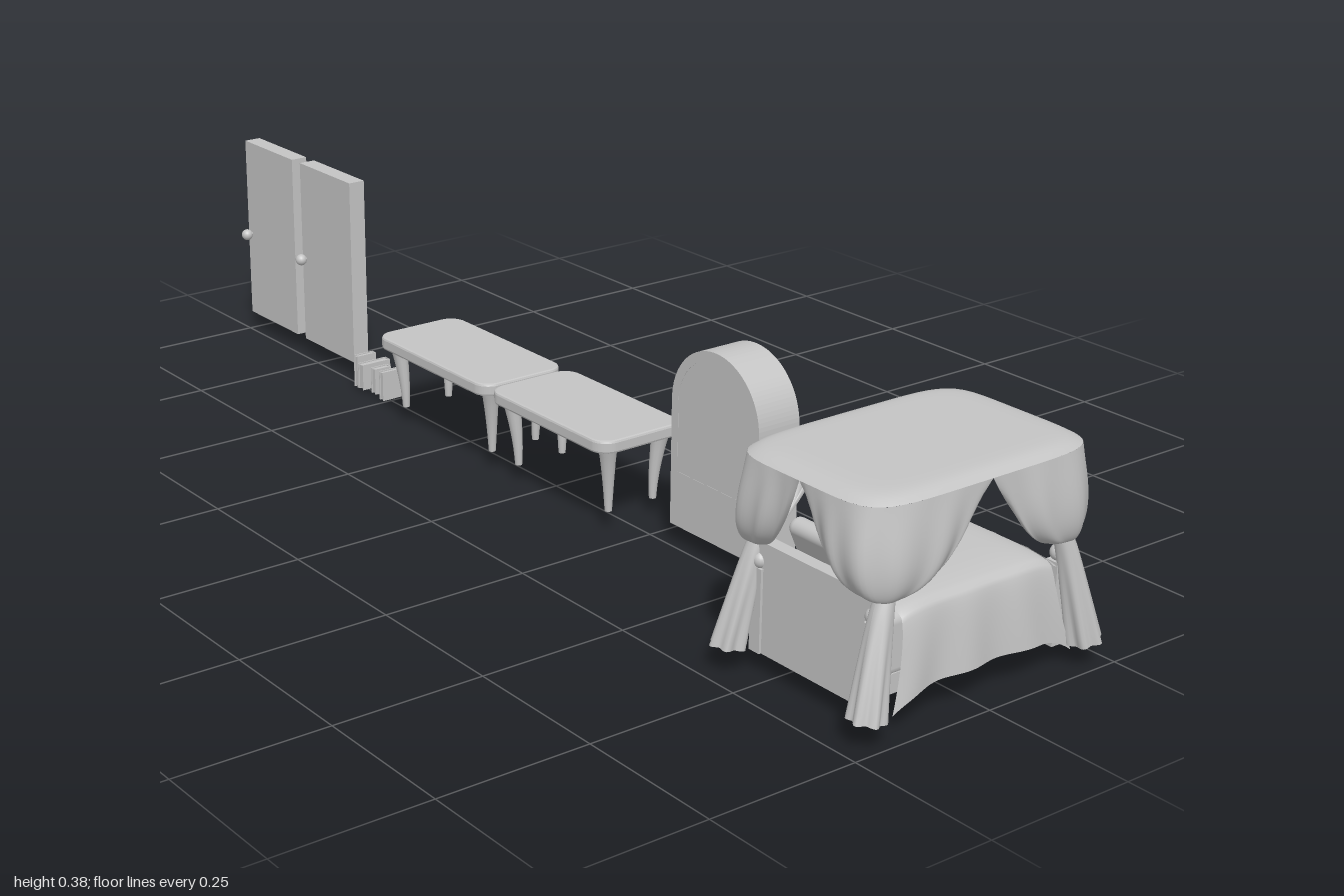
import * as THREE from 'three';
import { RoundedBoxGeometry } from 'three/addons/geometries/RoundedBoxGeometry.js';

const { sin, cos, abs, pow, PI } = Math;
const lerp = THREE.MathUtils.lerp;

// Grid surface from a rule f(u, v) -> [x, y, z]
function surface(f, nu, nv) {
  const pos = [], idx = [];
  for (let j = 0; j <= nv; j++) for (let i = 0; i <= nu; i++) pos.push(...f(i / nu, j / nv));
  for (let j = 0; j < nv; j++) for (let i = 0; i < nu; i++) {
    const a = j * (nu + 1) + i, b = a + nu + 1;
    idx.push(a, b, a + 1, a + 1, b, b + 1);
  }
  const g = new THREE.BufferGeometry();
  g.setAttribute('position', new THREE.Float32BufferAttribute(pos, 3));
  g.setIndex(idx);
  g.computeVertexNormals();
  return g;
}

// Outline with straight sides and a round top
function arch(Type, half, bottom, spring) {
  const s = new Type();
  s.moveTo(-half, bottom);
  s.lineTo(half, bottom);
  s.lineTo(half, spring);
  s.absarc(0, spring, half, 0, PI, false);
  s.closePath();
  return s;
}

// Extrude an outline along +x
const slab = (shape, depth) =>
  new THREE.ExtrudeGeometry(shape, { depth, bevelEnabled: false, curveSegments: 24 }).rotateY(PI / 2);

const box = (w, h, d) => new THREE.BoxGeometry(w, h, d);

export function createModel() {
  const grey = new THREE.MeshStandardMaterial({ color: 0xc4c4c4, side: THREE.DoubleSide });
  grey.name = 'plain grey';
  const root = new THREE.Group();
  root.name = 'furnitureSet';
  const group = (name, z) => {
    const g = new THREE.Group();
    g.name = name;
    g.position.z = z;
    root.add(g);
    return g;
  };
  const add = (parent, name, geo, x = 0, y = 0, z = 0) => {
    const m = new THREE.Mesh(geo, grey);
    m.name = name;
    m.position.set(x, y, z);
    parent.add(m);
    return m;
  };

  // ---- Canopy bed ----
  const bed = group('canopyBed', 0.832);
  const A = 0.214, B = 0.148;
  const rim = (a) => {
    const r = pow(pow(abs(cos(a)), 6) + pow(abs(sin(a)), 6), -1 / 6);
    return [A * r * cos(a), B * r * sin(a)];
  };
  add(bed, 'canopyTop', surface((u, v) => {
    const [x, z] = rim(u * 2 * PI);
    return [x * v, 0.35 - 0.012 * pow(v, 14), z * v];
  }, 96, 20));

  for (const sx of [-1, 1]) for (const sz of [-1, 1]) {
    // Upper curtain sweeps from the canopy rim to the corner tie
    add(bed, 'upperCurtain', surface((u, v) => {
      const a = u * PI / 2, [px, pz] = rim(a);
      const corner = pow(abs(sin(2 * a)), 0.6);
      const w = lerp(v, pow(v, 3), corner);
      const phi = lerp(-0.6 * PI, 1.1 * PI, u);
      const swell = sin(PI * v) * (0.014 * corner + 0.003 * sin(a * 22));
      const x = lerp(px, 0.171 + 0.016 * cos(phi), w) + swell * cos(a);
      const z = lerp(pz, 0.127 + 0.014 * sin(phi), w) + swell * sin(a);
      return [sx * x, 0.338 - 0.138 * (1 - pow(1 - v, 1.6)), sz * z];
    }, 40, 20));
    // Lower curtain flares out with folds
    add(bed, 'lowerCurtain', surface((u, v) => {
      const a = u * 2 * PI;
      const r = lerp(0.015, 0.025, pow(v, 0.8)) * (1 + 0.16 * v * sin(a * 6));
      const x = lerp(0.171, 0.209, pow(v, 0.9)) + r * cos(a);
      const z = lerp(0.127, 0.143, v) + r * sin(a);
      return [sx * x, 0.2 - 0.162 * v + 0.004 * v * cos(a), sz * z];
    }, 40, 12));
    // Bed posts with ball ends
    add(bed, 'bedPost', box(0.022, 0.13, 0.022), sx * 0.174, 0.097, sz * 0.115);
    add(bed, 'postBall', new THREE.SphereGeometry(0.013, 16, 12), sx * 0.176, 0.172, sz * 0.115);
  }

  add(bed, 'headboard', box(0.022, 0.17, 0.23), -0.17, 0.117, 0);
  add(bed, 'footboard', box(0.016, 0.1, 0.23), 0.172, 0.095, 0);
  add(bed, 'bedBase', box(0.33, 0.03, 0.23), 0, 0.06, 0);
  add(bed, 'mattress', new RoundedBoxGeometry(0.32, 0.095, 0.23, 3, 0.015), 0, 0.115, 0);

  // Blanket: cross-sections over the bed, with wavy hanging sides
  add(bed, 'blanket', surface((u, v) => {
    const t = 2 * v - 1, s = abs(t), side = Math.max(0, (s - 0.5) / 0.5);
    const hem = 0.054 - 0.02 * pow(abs(2 * u - 1), 4);
    const end = 0.008 * pow(abs(2 * u - 1), 8);
    const wave = 0.004 * sin(u * 19) * side;
    const z = side > 0 ? 0.112 + 0.02 * pow(side, 0.4) + 0.006 * side + wave : s * 0.224;
    const y = side > 0 ? lerp(0.171, hem, pow(side, 1.3)) : 0.177 - 0.006 * pow(s * 2, 4);
    return [lerp(-0.13, 0.157, u) * (1 + 0.2 * side * side), y - end, Math.sign(t) * z];
  }, 48, 48));
  add(bed, 'blanketEnd', surface((u, v) => {
    const z = lerp(-0.125, 0.125, u), edge = pow(abs(2 * u - 1), 6);
    const hem = 0.098 + 0.02 * (1 - abs(sin(u * 4 * PI)));
    return [0.157 + 0.028 * pow(v, 0.45), lerp(0.169 - 0.01 * edge, hem, v), z];
  }, 64, 10));

  // Pillows leaning on the headboard
  for (const s of [-1, 1]) {
    const p = add(bed, 'largePillow', new RoundedBoxGeometry(0.03, 0.078, 0.092, 4, 0.014), -0.127, 0.2, s * 0.048);
    p.rotation.z = 0.42;
    const q = add(bed, 'smallPillow', new THREE.SphereGeometry(1, 20, 14), -0.093, 0.184, s * 0.043);
    q.scale.set(0.016, 0.012, 0.036);
  }

  // ---- Arched bookcase, open side toward +x ----
  const bookcase = group('bookcase', 0.394);
  const caseShape = arch(THREE.Shape, 0.103, 0.033, 0.242);
  caseShape.holes.push(arch(THREE.Path, 0.087, 0.125, 0.242));
  add(bookcase, 'caseBody', slab(caseShape, 0.08), 0.007);
  add(bookcase, 'caseBack', slab(arch(THREE.Shape, 0.1, 0.036, 0.242), 0.008), 0.0075);
  for (const [y, w] of [[0.208, 0.176], [0.284, 0.154]]) add(bookcase, 'shelf', box(0.066, 0.008, w), 0.048, y, 0);
  for (const s of [-1, 1]) {
    add(bookcase, 'drawerFront', box(0.005, 0.07, 0.088), 0.087, 0.08, s * 0.048);
    const handle = new THREE.TorusGeometry(0.012, 0.0025, 8, 16, PI).rotateZ(PI).rotateY(PI / 2);
    add(bookcase, 'drawerHandle', handle, 0.091, 0.076, s * 0.046);
  }
  // Shelf contents: [z, shelf height, width, height]
  for (const [z, y, w, h] of [
    [0.06, 0.125, 0.012, 0.045], [0.046, 0.125, 0.012, 0.038], [0.01, 0.125, 0.04, 0.018], [0.006, 0.143, 0.03, 0.012],
    [-0.04, 0.125, 0.013, 0.05], [-0.055, 0.125, 0.012, 0.04], [-0.07, 0.125, 0.013, 0.046],
    [0.045, 0.212, 0.04, 0.015], [0, 0.212, 0.012, 0.04], [-0.014, 0.212, 0.012, 0.034], [-0.055, 0.212, 0.03, 0.022],
    [0.02, 0.288, 0.035, 0.013], [-0.03, 0.288, 0.012, 0.028],
  ]) add(bookcase, 'shelfBook', box(0.042, h, w), 0.052, y + h / 2, z);
  add(bookcase, 'vase', new THREE.SphereGeometry(0.011, 16, 12), 0.058, 0.238, 0.045);

  // ---- Two tables ----
  for (const [zc, len] of [[0.071, 0.312], [-0.258, 0.33]]) {
    const table = group('table', zc);
    const w = 0.084, l = len / 2, r = 0.03, top = new THREE.Shape();
    top.moveTo(w - r, -l);
    top.absarc(w - r, -l + r, r, -PI / 2, 0, false);
    top.absarc(w - r, l - r, r, 0, PI / 2, false);
    top.absarc(-w + r, l - r, r, PI / 2, PI, false);
    top.absarc(-w + r, -l + r, r, PI, PI * 1.5, false);
    const topGeo = new THREE.ExtrudeGeometry(top, {
      depth: 0.014, bevelThickness: 0.004, bevelSize: 0.004, bevelOffset: -0.004, bevelSegments: 2, curveSegments: 8,
    }).rotateX(-PI / 2);
    add(table, 'tableTop', topGeo, 0.005, 0.147, 0);
    add(table, 'apron', box(0.125, 0.012, len - 0.05), 0.005, 0.139, 0);
    for (const sx of [-1, 1]) for (const sz of [-1, 1]) {
      // Tapered legs, toes bent toward the middle
      const leg = surface((u, v) => {
        const a = u * 2 * PI, rad = lerp(0.016, 0.006, pow(v, 0.7)), bend = -0.008 * sin(v * PI / 2);
        return [sx * bend + rad * cos(a), 0.145 - 0.113 * v, sz * bend + rad * sin(a)];
      }, 12, 8);
      add(table, 'tableLeg', leg, 0.005 + sx * 0.053, 0, sz * (l - 0.026));
      add(table, 'tableFoot', new THREE.CircleGeometry(0.006, 12).rotateX(PI / 2),
        0.005 + sx * 0.045, 0.032, sz * (l - 0.034));
    }
  }

  // ---- Row of loose books: [z, x, width, bottom, top, thickness] ----
  const books = group('books', 0);
  for (const [z, x, w, y0, y1, t] of [
    [-0.593, 0.005, 0.04, 0.002, 0.062, 0.012], [-0.566, 0.0075, 0.059, 0.007, 0.055, 0.016],
    [-0.54, 0.005, 0.034, 0.004, 0.052, 0.014], [-0.512, 0.0075, 0.041, 0, 0.054, 0.012],
  ]) {
    add(books, 'bookPages', box(w - 0.004, y1 - y0 - 0.004, t - 0.004), x, (y0 + y1) / 2, z);
    for (const s of [-1, 1]) add(books, 'bookCover', box(w, y1 - y0, 0.002), x, (y0 + y1) / 2, z + s * (t / 2 - 0.001));
    add(books, 'bookSpine', box(0.002, y1 - y0, t), x + w / 2 - 0.001, (y0 + y1) / 2, z);
  }

  // ---- Two doors ----
  for (const [zc, panelled] of [[-0.717, false], [-0.915, true]]) {
    const door = group('door', zc);
    add(door, 'doorLeaf', box(0.031, 0.342, 0.17), 0.0215, 0.204, 0);
    for (const s of [-1, 1]) {
      add(door, 'knobStem', new THREE.CylinderGeometry(0.004, 0.004, 0.012, 12).rotateZ(PI / 2), 0.0215 + s * 0.018, 0.193, -0.074);
      add(door, 'doorKnob', new THREE.SphereGeometry(0.0105, 18, 12), 0.0215 + s * 0.026, 0.193, -0.074);
    }
    if (panelled) {
      // Raised mouldings around an arched and a square panel
      const upper = arch(THREE.Shape, 0.054, 0.172, 0.295);
      upper.holes.push(arch(THREE.Path, 0.05, 0.176, 0.295));
      add(door, 'archMoulding', slab(upper, 0.002), 0.037);
      for (const s of [-1, 1]) {
        add(door, 'lowerMoulding', box(0.002, 0.004, 0.108), 0.038, 0.11 + s * 0.045, 0);
        add(door, 'lowerMoulding', box(0.002, 0.094, 0.004), 0.038, 0.11, s * 0.052);
      }
    }
  }
  return root;
}
